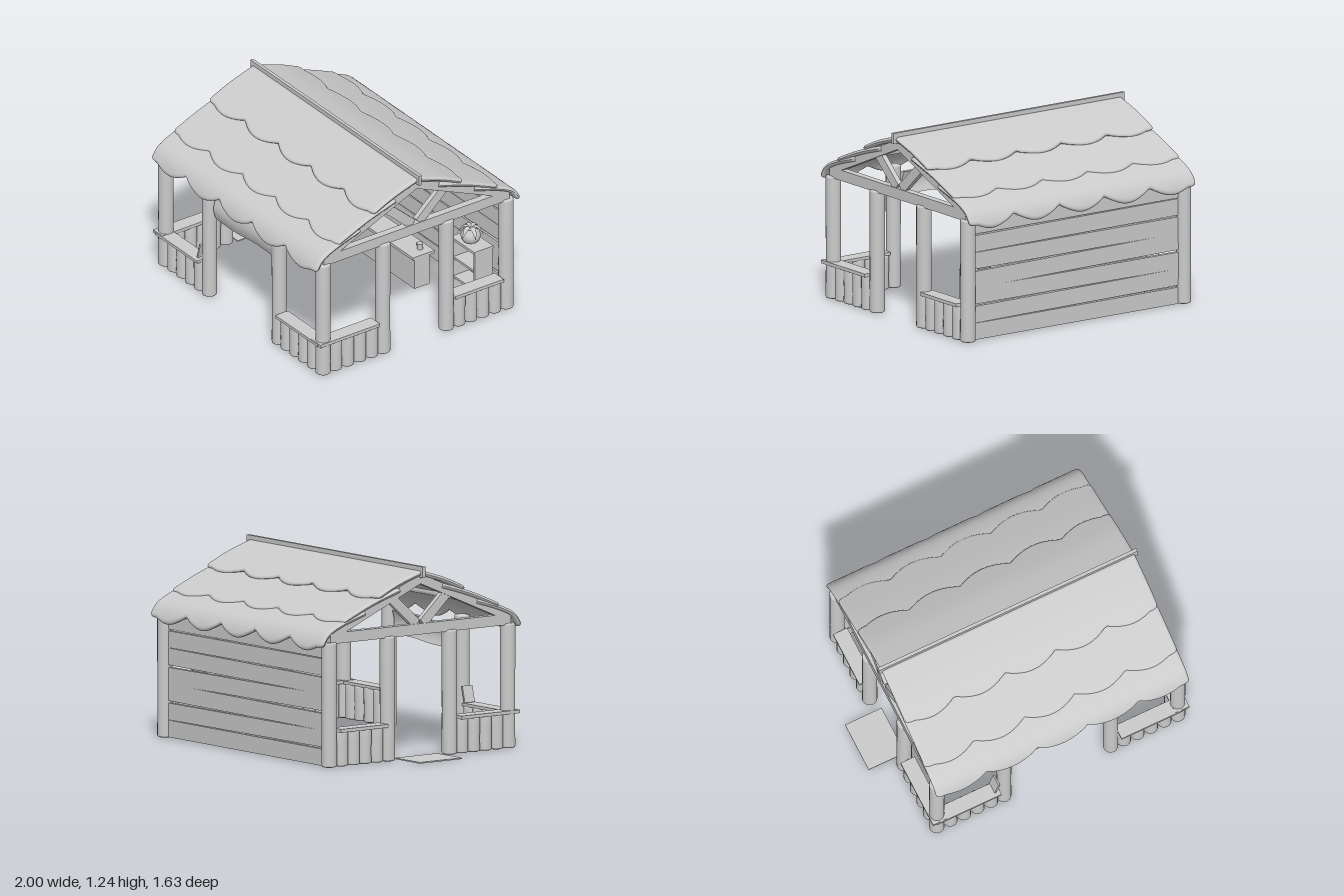
import * as THREE from 'three';

const mat = new THREE.MeshStandardMaterial({ color: 0xcccccc });
const thin = new THREE.MeshStandardMaterial({ color: 0xcccccc, side: THREE.DoubleSide });
const X0 = -0.78, X1 = 0.935, Z = 0.72, ZI = 0.25;

function add(parent, name, geo, x = 0, y = 0, z = 0, material = mat) {
  const m = new THREE.Mesh(geo, material);
  m.name = name;
  m.position.set(x, y, z);
  parent.add(m);
  return m;
}
const box = (p, name, w, h, d, x, y, z) => add(p, name, new THREE.BoxGeometry(w, h, d), x, y, z);

// Round log standing on the ground, with softened ends
function log(parent, name, r, h, x, z) {
  const b = 0.012;
  const pts = [[0, 0], [r - b, 0], [r - 0.003, 0.004], [r, b], [r * 0.97, h * 0.35], [r, h * 0.7],
    [r, h - b], [r - 0.003, h - 0.004], [r - b, h], [0, h]].map(p => new THREE.Vector2(...p));
  return add(parent, name, new THREE.LatheGeometry(pts, 16), x, 0.005, z);
}

// Beam between two points of the cross-section plane (z, y)
function beam(parent, name, a, b, height, depth, x) {
  const dz = b[0] - a[0], dy = b[1] - a[1];
  const m = box(parent, name, depth, height, Math.hypot(dz, dy), x, (a[1] + b[1]) / 2, (a[0] + b[0]) / 2);
  m.rotation.x = -Math.atan2(dy, dz);
  return m;
}

// Scalloped roof layer: a rounded slab following a (z, y) profile, five lobes along x
function roofLayer(profile, depth) {
  const W = 1.8, T = 0.032, R = 0.02, lobes = 5;
  const curve = new THREE.CatmullRomCurve3(profile.map(([z, y]) => new THREE.Vector3(0, y, z)));
  const len = curve.getLength();
  const round = d => Math.sqrt(Math.max(0, 1 - (1 - Math.min(1, d / R)) ** 2));
  const ends = [0, 0.002, 0.006, 0.012];
  const xs = [...ends];
  for (let i = 0; i <= 80; i++) xs.push(0.02 + (W - 0.04) * i / 80);
  xs.push(...ends.map(e => W - e).reverse());
  const back = [0.02, 0.012, 0.006, 0.002, 0];
  const pos = [], idx = [], nV = 20, M = 2 * nV;
  for (const x of xs) {
    const u = x / W * lobes;
    let lobe = Math.abs(Math.sin(Math.PI * u)) ** 0.85;
    if (u < 0.5 || u > lobes - 0.5) lobe = Math.max(lobe, 0.6);
    const edge = Math.min(x, W - x);
    const corner = 0.03 * (1 - Math.sqrt(1 - Math.max(0, 1 - edge / 0.04) ** 2));
    const L = len - depth * (1 - lobe) - corner;
    const ds = [];
    for (let k = 0; k < nV - back.length; k++) ds.push((L - 0.03) * k / (nV - back.length - 1));
    ds.push(...back.map(b => L - b));
    const top = [], bottom = [];
    for (const d of ds) {
      const t = Math.min(1, d / len), p = curve.getPointAt(t), g = curve.getTangentAt(t);
      const h = T / 2 * round(L - d) * round(edge);
      const cy = p.y - g.z * T / 2, cz = p.z + g.y * T / 2;
      top.push([x - W / 2, cy + g.z * h, cz - g.y * h]);
      bottom.push([x - W / 2, cy - g.z * h, cz + g.y * h]);
    }
    [...top, ...bottom.reverse()].forEach(p => pos.push(...p));
  }
  for (let i = 0; i < xs.length - 1; i++) for (let j = 0; j < M; j++) {
    const k = (j + 1) % M, a = i * M + j, b = i * M + k, c = a + M, d = b + M;
    idx.push(a, b, c, b, d, c);
  }
  const geo = new THREE.BufferGeometry();
  geo.setAttribute('position', new THREE.Float32BufferAttribute(pos, 3));
  geo.setIndex(idx);
  geo.computeVertexNormals();
  return geo;
}

function buildRoof(root) {
  const layers = [
    [[[0, 1.215], [0.2, 1.15], [0.385, 1.068]], 0.06],
    [[[0.18, 1.115], [0.4, 1.045], [0.665, 0.935]], 0.06],
    [[[0.46, 0.99], [0.66, 0.925], [0.76, 0.872], [0.805, 0.81], [0.82, 0.755]], 0.075],
  ];
  const geos = layers.map(([p, d]) => roofLayer(p, d));
  for (const turn of [0, Math.PI]) {
    const side = new THREE.Group();
    side.name = turn ? 'backRoof' : 'frontRoof';
    side.position.x = 0.08;
    side.rotation.y = turn;
    geos.forEach((g, i) => add(side, 'roofLayer' + (i + 1), g));
    root.add(side);
  }
  box(root, 'ridgeBoard', 1.84, 0.07, 0.022, 0.08, 1.205, 0);
  // Gable trusses
  for (const x of [X0, X1]) {
    const truss = new THREE.Group();
    truss.name = 'truss';
    root.add(truss);
    box(truss, 'tieBeam', 0.05, 0.07, 1.46, x, 0.835, 0);
    for (const s of [-1, 1]) {
      beam(truss, 'rafter', [0, 1.16], [s * 0.7, 0.86], 0.06, 0.05, x);
      beam(truss, 'strut', [s * 0.025, 0.87], [s * 0.235, 1.06], 0.065, 0.035, x);
    }
  }
}

// Low log fences with a plank rail on top
function buildFences(root) {
  const fence = new THREE.Group();
  fence.name = 'fences';
  root.add(fence);
  for (const x of [X0, X1]) for (const s of [-1, 1]) {
    for (let i = 1; i <= 4; i++) log(fence, 'fenceLog', 0.047, 0.225, x, s * (ZI + i * 0.094));
    box(fence, 'sideRail', 0.1, 0.022, s > 0 ? 0.47 : 0.38, x + (x < 0 ? -0.005 : 0.005), 0.238, s > 0 ? 0.545 : -0.475);
  }
  for (const s of [-1, 1]) {
    const corner = s < 0 ? X0 : X1;
    for (let i = 1; i <= 4; i++) log(fence, 'fenceLog', 0.047, 0.225, corner - s * i * 0.096, Z);
    box(fence, 'frontRail', 0.46, 0.02, 0.1, corner - s * 0.2, 0.236, Z + 0.015);
  }
}

function buildFurniture(root) {
  // Counter with a cup
  box(root, 'counter', 0.67, 0.215, 0.12, 0.075, 0.11, -0.44);
  box(root, 'counterTop', 0.68, 0.02, 0.17, 0.075, 0.227, -0.45);
  add(root, 'cup', new THREE.CylinderGeometry(0.021, 0.018, 0.042, 16), 0.345, 0.258, -0.47);
  add(root, 'cupHandle', new THREE.TorusGeometry(0.012, 0.004, 6, 12), 0.322, 0.26, -0.47);
  add(root, 'coaster', new THREE.CylinderGeometry(0.012, 0.012, 0.008, 12), -0.115, 0.241, -0.45);

  // Open shelf unit
  const shelf = new THREE.Group();
  shelf.name = 'shelfUnit';
  shelf.position.set(0.733, 0, -0.6);
  root.add(shelf);
  for (const s of [-1, 1]) box(shelf, 'shelfSide', 0.016, 0.42, 0.14, s * 0.12, 0.215, 0);
  box(shelf, 'shelfBack', 0.24, 0.42, 0.012, 0, 0.215, -0.064);
  for (const y of [0.01, 0.14, 0.28]) box(shelf, 'shelfBoard', 0.23, 0.016, 0.13, 0, y, 0);
  box(shelf, 'shelfTop', 0.258, 0.018, 0.15, 0, 0.423, 0);

  // Potted plant with drooping leaves
  const plant = new THREE.Group();
  plant.name = 'plant';
  plant.position.set(0.725, 0.432, -0.595);
  root.add(plant);
  const pot = [[0, 0], [0.045, 0], [0.06, 0.02], [0.066, 0.045], [0.058, 0.072], [0.042, 0.09], [0.046, 0.1],
    [0.036, 0.1], [0.034, 0.085], [0, 0.085]].map(p => new THREE.Vector2(...p));
  add(plant, 'pot', new THREE.LatheGeometry(pot, 20));
  for (let i = 0; i < 6; i++) {
    const leaf = new THREE.PlaneGeometry(0.034, 0.1, 2, 8);
    const p = leaf.attributes.position;
    for (let k = 0; k < p.count; k++) {
      const t = p.getY(k) / 0.1 + 0.5;
      const w = p.getX(k) * Math.sin(Math.PI * (0.12 + 0.85 * t));
      p.setXYZ(k, w, 0.09 + 0.1 * t - 0.15 * t * t - Math.abs(w) * 0.3, 0.005 + 0.08 * t);
    }
    leaf.computeVertexNormals();
    add(plant, 'leaf', leaf, 0, 0.01, 0, thin).rotation.y = i * Math.PI / 3 + 0.3;
  }

  // Hanging board between the middle posts, gently curled
  const sign = new THREE.BoxGeometry(0.63, 0.15, 0.025, 16, 6, 1);
  const sp = sign.attributes.position;
  for (let i = 0; i < sp.count; i++) {
    const x = sp.getX(i), y = sp.getY(i);
    sp.setY(i, y + 0.005 * Math.sin(x * 14));
    sp.setZ(i, sp.getZ(i) + 0.02 * Math.cos(y * 20) - 0.015);
  }
  sign.computeVertexNormals();
  add(root, 'hangingBoard', sign, 0.08, 0.672, Z).rotation.z = 0.045;

  // Small card leaning on the front post
  const card = box(root, 'leaningCard', 0.012, 0.11, 0.08, -0.368, 0.302, Z);
  card.rotation.z = -0.25;

  // Door mat
  box(root, 'doorMat', 0.26, 0.008, 0.34, -0.87, 0.006, 0.012);
}

export function createModel() {
  const root = new THREE.Group();
  root.name = 'openHut';

  // Posts
  for (const x of [X0, X1]) for (const z of [-Z, -ZI, ZI, Z]) log(root, 'post', 0.05, 0.805, x, z);
  for (const x of [-0.303, 0.458]) log(root, 'frontPost', 0.049, 0.805, x, Z);

  // Back wall of slightly crooked planks
  const tilt = [0.002, -0.004, 0.005, -0.007, 0.004, -0.002, 0.002];
  tilt.forEach((t, i) => {
    box(root, 'wallPlank', 1.64, 0.109, 0.028, 0.078, 0.062 + i * 0.116, -0.715).rotation.z = t;
  });

  buildFences(root);
  buildRoof(root);
  buildFurniture(root);
  return root;
}
